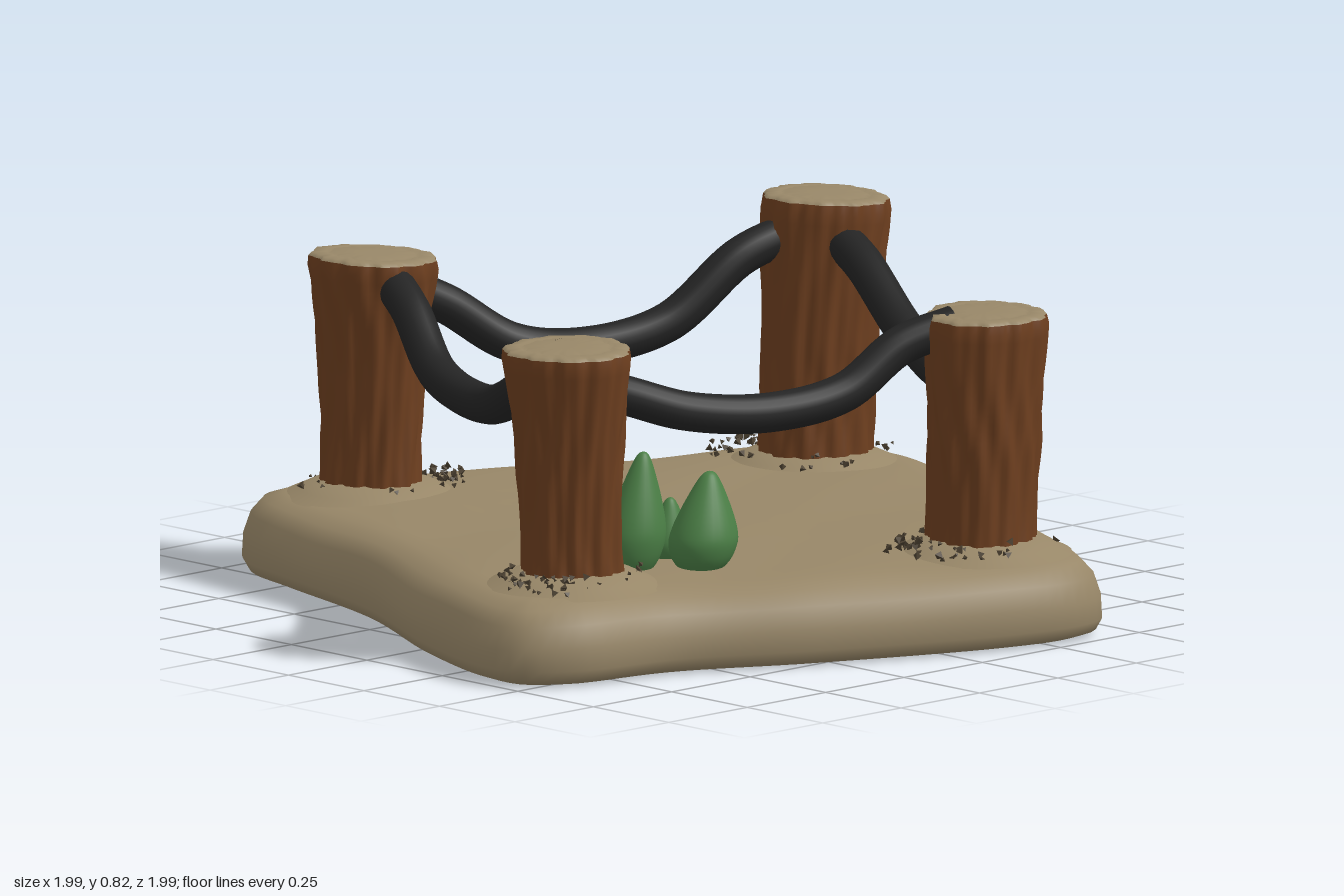
import * as THREE from 'three';
import { mergeGeometries, mergeVertices } from 'three/addons/utils/BufferGeometryUtils.js';

const V = (x, y, z) => new THREE.Vector3(x, y, z);
const paint = (name, color) => {
  const m = new THREE.MeshStandardMaterial({ color });
  m.name = name;
  return m;
};

function seeded(seed) {
  return () => {
    seed = (seed * 16807) % 2147483647;
    return seed / 2147483647;
  };
}

// Weld seams and shade smoothly
function smooth(geo) {
  geo.deleteAttribute('uv');
  geo.deleteAttribute('normal');
  const g = mergeVertices(geo, 1e-4);
  g.computeVertexNormals();
  return g;
}

// Soft four-cornered slab outline, as [x, z]
const OUTLINE = [
  [-0.31, -1], [-0.13, -0.95], [0.3, -0.74], [0.83, -0.54], [0.95, -0.46], [0.99, -0.34],
  [0.93, -0.05], [0.72, 0.4], [0.5, 0.84], [0.42, 0.96], [0.32, 0.99], [0.14, 0.96],
  [-0.31, 0.78], [-0.61, 0.63], [-0.87, 0.57], [-0.98, 0.48], [-0.995, 0.38], [-0.9, 0.085],
  [-0.71, -0.31], [-0.6, -0.69], [-0.54, -0.88], [-0.44, -0.98],
];

// Each ring: inset from the outline, height, scale towards the middle
const RINGS = [
  [0.05, 0.01, 0.001], [0.05, 0.01, 0.5], [0.05, 0.006, 1], [0.015, 0.018, 1], [0, 0.045, 1],
  [0.003, 0.095, 1], [0.02, 0.145, 1], [0.05, 0.178, 1], [0.1, 0.193, 1], [0.1, 0.197, 0.94],
  [0.1, 0.2, 0.85], [0.1, 0.203, 0.72], [0.1, 0.205, 0.58], [0.1, 0.205, 0.44],
  [0.1, 0.205, 0.3], [0.1, 0.205, 0.15], [0.1, 0.205, 0.001],
];

function slabGeometry() {
  const N = 160;
  const curve = new THREE.CatmullRomCurve3(OUTLINE.map(([x, z]) => V(x, 0, z)), true);
  const pos = [], idx = [];
  RINGS.forEach(([inset, height, scale], i) => {
    for (let j = 0; j < N; j++) {
      const p = curve.getPointAt(j / N), t = curve.getTangentAt(j / N);
      const x = (p.x - t.z * inset) * scale, z = (p.z + t.x * inset) * scale;
      const lift = Math.max(0, 0.6 * x - 0.4 * z) * 0.03 * Math.max(0, 1 - height / 0.15);
      const bump = i > 4 ? 0.004 * Math.sin(9 * x + 4 * z) * Math.sin(11 * z - 3 * x) : 0;
      pos.push(x, height + lift + bump, z);
      if (i < RINGS.length - 1) {
        const a = i * N + j, b = i * N + (j + 1) % N;
        idx.push(a, a + N, b, b, a + N, b + N);
      }
    }
  });
  const g = new THREE.BufferGeometry();
  g.setAttribute('position', new THREE.Float32BufferAttribute(pos, 3));
  g.setIndex(idx);
  g.computeVertexNormals();
  return g;
}

// Post: foot and top centres, radii, top height, lean of the cut, side with loose soil
const POSTS = {
  frontRight: { foot: [-0.68, 0.35], top: [-0.695, 0.35], r: [0.118, 0.15], h: 0.74, tilt: 0, soil: [-0.19, 0.05] },
  backRight: { foot: [-0.29, -0.72], top: [-0.285, -0.72], r: [0.118, 0.15], h: 0.745, tilt: -0.06, soil: [0.15, 0.08] },
  frontLeft: { foot: [0.26, 0.725], top: [0.272, 0.727], r: [0.128, 0.142], h: 0.742, tilt: 0, soil: [-0.18, 0] },
  backLeft: { foot: [0.695, -0.285], top: [0.735, -0.282], r: [0.134, 0.148], h: 0.808, tilt: -0.06, soil: [-0.05, -0.18] },
};

// Bark ridges that wander as they climb
const bark = (a, t, k) => 0.004 * Math.sin(11 * a + 3 * Math.sin(5 * t + k))
  + 0.0025 * Math.sin(23 * a - 4 * t + k) + 0.004 * Math.sin(3 * a + 2 * t + k);

// Place a post vertex from angle, height fraction and share of the radius
function postPoint(p, k, a, t, share, extra = 0) {
  const flare = t < 0.5 ? p.r[0] - 0.005 * Math.sin(Math.PI * 2 * t)
    : p.r[0] + (p.r[1] - p.r[0]) * Math.pow((t - 0.5) / 0.5, 1.4);
  const lip = t > 0.97 ? (t - 0.97) * 0.2 : 0;
  const r = (flare - lip + bark(a, t, k)) * share;
  const lx = Math.sin(a) * r, lz = Math.cos(a) * r;
  return V(p.foot[0] + (p.top[0] - p.foot[0]) * t + lx,
    0.15 + (p.h - 0.15) * t + lx * p.tilt * t + extra, p.foot[1] + (p.top[1] - p.foot[1]) * t + lz);
}

function trunkGeometry(p, k) {
  const g = smooth(new THREE.CylinderGeometry(1, 1, 1, 96, 28, true));
  const q = g.attributes.position;
  for (let i = 0; i < q.count; i++) {
    const v = postPoint(p, k, Math.atan2(q.getX(i), q.getZ(i)), q.getY(i) + 0.5, 1);
    q.setXYZ(i, v.x, v.y, v.z);
  }
  g.computeVertexNormals();
  return g;
}

// Cut face with a shallow growth ring
function cutGeometry(p, k) {
  const profile = [[1, 0], [0.95, 0.008], [0.76, 0.01], [0.71, 0.004], [0.66, 0.01], [0.3, 0.011], [0, 0.011]];
  const g = smooth(new THREE.LatheGeometry(profile.map(([r, y]) => new THREE.Vector2(r, y)), 96));
  const q = g.attributes.position;
  for (let i = 0; i < q.count; i++) {
    const x = q.getX(i), z = q.getZ(i);
    const v = postPoint(p, k, Math.atan2(x, z), 1, Math.hypot(x, z), q.getY(i));
    q.setXYZ(i, v.x, v.y, v.z);
  }
  g.computeVertexNormals();
  return g;
}

// Sagging ropes between neighbouring posts
const ROPES = {
  frontRope: [[-0.66, 0.66, 0.36], [-0.55, 0.62, 0.4], [-0.42, 0.575, 0.46], [-0.22, 0.555, 0.53], [-0.04, 0.585, 0.585], [0.1, 0.68, 0.625], [0.22, 0.72, 0.68]],
  rightRope: [[-0.66, 0.71, 0.3], [-0.6, 0.675, 0.18], [-0.55, 0.58, 0.04], [-0.49, 0.515, -0.13], [-0.44, 0.545, -0.34], [-0.36, 0.66, -0.52], [-0.31, 0.71, -0.64]],
  backRope: [[-0.24, 0.68, -0.69], [-0.13, 0.625, -0.64], [0.0, 0.53, -0.56], [0.14, 0.51, -0.48], [0.34, 0.55, -0.4], [0.52, 0.69, -0.34], [0.66, 0.74, -0.3]],
  leftRope: [[0.32, 0.67, 0.68], [0.39, 0.62, 0.6], [0.46, 0.53, 0.47], [0.52, 0.515, 0.33], [0.58, 0.58, 0.14], [0.66, 0.69, -0.08], [0.71, 0.73, -0.22]],
};

// Pointed shrubs: x, z, radius, tip height, lean in x and z
const SHRUBS = [
  [-0.36, 0.44, 0.083, 0.42, 0.03, 0],
  [-0.49, 0.35, 0.072, 0.47, 0.035, 0],
  [-0.35, 0.32, 0.052, 0.345, 0, 0.01],
  [-0.42, 0.2, 0.062, 0.275, 0.01, 0.02],
  [-0.5, 0.11, 0.045, 0.255, 0, 0],
];

function shrubGeometry([x, z, r, tip, dx, dz]) {
  const profile = [[0.55, 0], [0.85, 0.12], [1, 0.28], [0.95, 0.42], [0.76, 0.6], [0.52, 0.78], [0.32, 0.91], [0.16, 0.98], [0, 1]];
  const curve = new THREE.SplineCurve(profile.map(([a, b]) => new THREE.Vector2(a, b)));
  const pts = curve.getPoints(24).map((p) => new THREE.Vector2(Math.max(0, p.x) * r, p.y));
  const g = smooth(new THREE.LatheGeometry(pts, 28));
  const q = g.attributes.position, base = 0.19;
  for (let i = 0; i < q.count; i++) {
    const t = q.getY(i);
    q.setXYZ(i, x + q.getX(i) + dx * t, base + t * (tip - base), z + q.getZ(i) * 0.92 + dz * t);
  }
  g.computeVertexNormals();
  return g;
}

// Loose soil crumbs around a post foot
function crumbGeometry(p, seed) {
  const rnd = seeded(seed), side = Math.atan2(p.soil[0], p.soil[1]), bits = [];
  for (let i = 0; i < 60; i++) {
    const near = i < 38;
    const a = near ? side + (rnd() - 0.5) * 1.1 : rnd() * Math.PI * 2;
    const d = p.r[0] + 0.015 + rnd() * (near ? 0.09 : 0.04);
    const b = new THREE.TetrahedronGeometry(0.005 + rnd() * 0.008);
    b.rotateX(rnd() * 6).rotateY(rnd() * 6);
    bits.push(b.translate(p.foot[0] + Math.sin(a) * d, 0.205 + rnd() * 0.035, p.foot[1] + Math.cos(a) * d));
  }
  return mergeGeometries(bits);
}

export function createModel() {
  const sand = paint('sand', 0x988768);
  const wood = paint('bark brown', 0x6e3f1f);
  const black = paint('rope black', 0x242424);
  const green = paint('shrub green', 0x4b7f46);
  const soil = paint('dark soil', 0x4d4232);
  const model = new THREE.Group();
  model.name = 'ropedEnclosure';
  const add = (name, geo, mat, parent = model) => {
    const m = new THREE.Mesh(geo, mat);
    m.name = name;
    parent.add(m);
    return m;
  };

  add('groundSlab', slabGeometry(), sand);

  // Posts with cut tops, mounds and crumbs
  Object.entries(POSTS).forEach(([name, p], k) => {
    const post = new THREE.Group();
    post.name = name + 'Post';
    model.add(post);
    add('trunk', trunkGeometry(p, k * 1.7), wood, post);
    add('cutTop', cutGeometry(p, k * 1.7), sand, post);
    const hill = [[0.21, 0.19], [0.17, 0.208], [0.14, 0.222], [0.1, 0.23]];
    const mound = add('mound', new THREE.LatheGeometry(hill.map(([r, y]) => new THREE.Vector2(r, y)), 40), sand, post);
    mound.position.set(p.foot[0], 0, p.foot[1]);
    add('soilCrumbs', crumbGeometry(p, 101 + k * 37), soil, post);
  });

  // Ropes
  for (const [name, pts] of Object.entries(ROPES)) {
    const curve = new THREE.CatmullRomCurve3(pts.map((p) => V(...p)));
    add(name, new THREE.TubeGeometry(curve, 60, 0.046, 18), black);
  }

  // Shrubs
  SHRUBS.forEach((s, i) => add('shrub' + (i + 1), shrubGeometry(s), green));
  return model;
}
